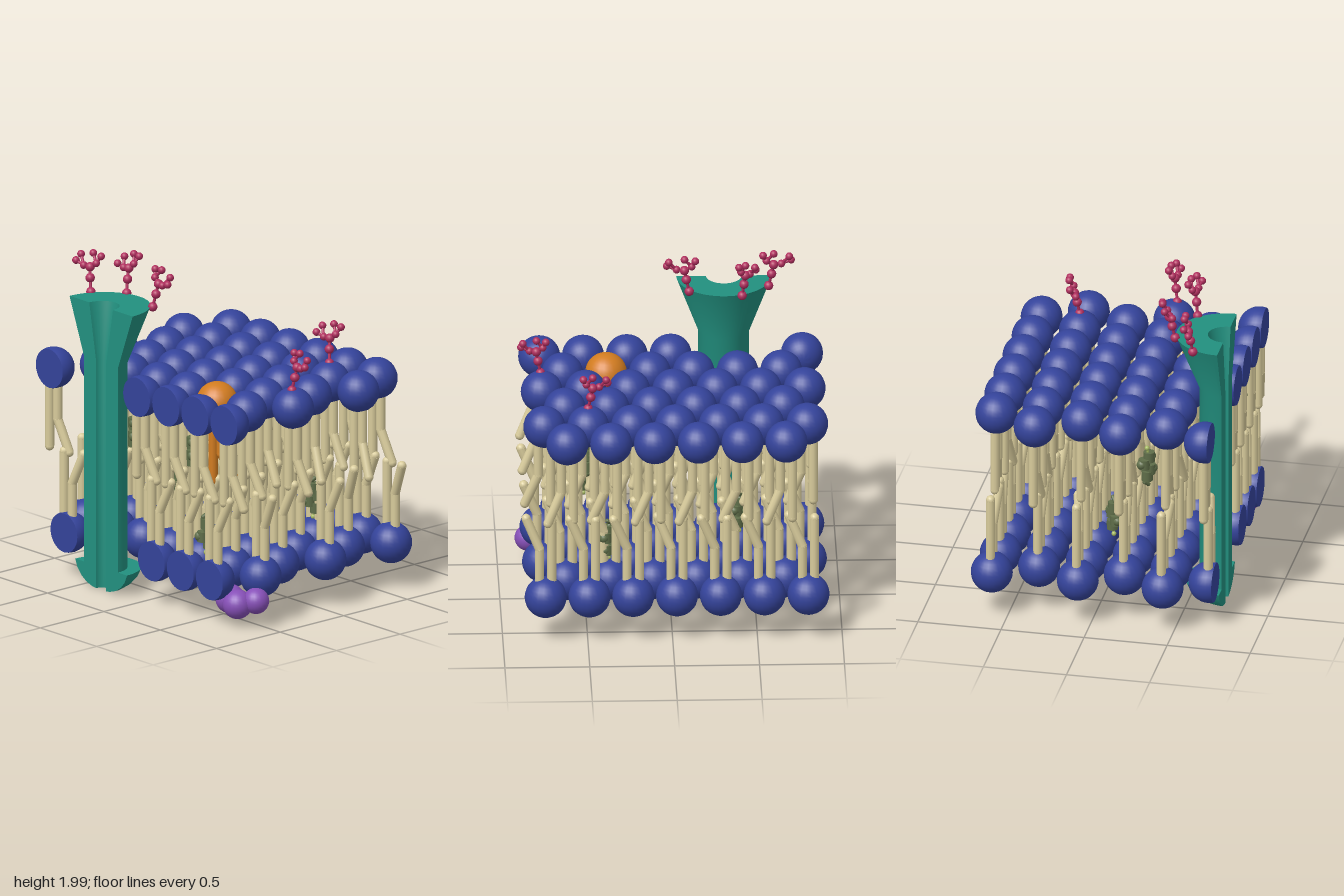
import * as THREE from 'three';
import { toCreasedNormals } from 'three/addons/utils/BufferGeometryUtils.js';

const CUT = 0.72; // flat section plane at the front
const paint = (color, side = THREE.FrontSide) => new THREE.MeshStandardMaterial({ color, side });
const BLUE = paint(0x34439a), CREAM = paint(0xd9cc9c), ORANGE = paint(0xd27c20), PINK = paint(0xb02e5e);
const OLIVE = paint(0x5f6e49), LIME = paint(0xa9bd66), PURPLE = paint(0x8750b8);
const TEAL = paint(0x22907f, THREE.DoubleSide);
const V = (x, y, z) => new THREE.Vector3(x, y, z);
const UP = V(0, 1, 0);

function add(parent, name, geometry, material, x = 0, y = 0, z = 0) {
  const mesh = new THREE.Mesh(geometry, material);
  mesh.name = name;
  mesh.position.set(x, y, z);
  parent.add(mesh);
  return mesh;
}

function group(parent, name, x = 0, y = 0, z = 0) {
  const g = new THREE.Group();
  g.name = name;
  g.position.set(x, y, z);
  parent.add(g);
  return g;
}

// Round bar between two points
const barGeo = new THREE.CylinderGeometry(1, 1, 1, 10);
function bar(parent, name, a, b, radius, material) {
  const m = add(parent, name, barGeo, material);
  m.position.copy(a).lerp(b, 0.5);
  m.scale.set(radius, a.distanceTo(b), radius);
  m.quaternion.setFromUnitVectors(UP, b.clone().sub(a).normalize());
}

const smallBall = new THREE.SphereGeometry(1, 10, 7);
const largeBall = new THREE.SphereGeometry(1, 22, 16);
function ball(parent, name, p, radius, material, geometry = smallBall) {
  add(parent, name, geometry, material, p.x, p.y, p.z).scale.setScalar(radius);
}

// Chain of bars with rounded joints
function chain(parent, name, points, radius, material) {
  points.slice(1).forEach((p, i) => {
    bar(parent, name, points[i], p, radius, material);
    ball(parent, name + 'End', p, radius, material);
  });
}

// Head spheres; the front row is sliced flat at the section plane
const HEAD_R = 0.124;
const headGeo = new THREE.SphereGeometry(HEAD_R, 22, 16);
function slicedHead(limit) {
  const g = new THREE.SphereGeometry(HEAD_R, 28, 20).rotateX(Math.PI / 2);
  const p = g.attributes.position;
  const rim = Math.sqrt(HEAD_R * HEAD_R - limit * limit);
  for (let i = 0; i < p.count; i++) {
    if (p.getZ(i) <= limit) continue;
    // flatten, and push the outer ring onto the true circle of the slice
    const r = Math.hypot(p.getX(i), p.getY(i));
    const k = r > rim * 0.9 ? rim / r : 1;
    p.setXYZ(i, p.getX(i) * k, p.getY(i) * k, limit);
  }
  return toCreasedNormals(g, 0.5);
}

// One lipid: head, a straight tail and a kinked tail; dir = -1 hangs, +1 stands
function lipid(parent, x, y, z, dir, geometry, wobble, special) {
  const g = group(parent, special ? 'taggedLipid' : 'lipid', x, y, z);
  add(g, 'head', geometry, special ? ORANGE : BLUE);
  const mat = special ? ORANGE : CREAM;
  const bend = special ? [0.04, -0.11] : [0.115, wobble];
  chain(g, 'straightTail', [V(-0.036, 0.1 * dir, 0), V(-0.036, 0.49 * dir, 0)], 0.028, mat);
  chain(g, 'kinkedTail', [V(0.036, 0.1 * dir, 0), V(0.036, 0.31 * dir, 0), V(bend[0], 0.5 * dir, bend[1])], 0.028, mat);
}

// Branched sugar chain
const sugarBall = new THREE.SphereGeometry(1, 14, 10);
const sugarNodes = [
  [0, 0, 0], [0.015, 0.08, -0.01], [0.025, 0.143, -0.02], [-0.012, 0.172, -0.03], [-0.03, 0.215, -0.05],
  [0.025, 0.223, -0.045], [0.065, 0.145, -0.01], [0.115, 0.165, 0], [0.105, 0.2, -0.03],
];
const sugarLinks = [[0, 1], [1, 2], [2, 3], [3, 4], [3, 5], [2, 6], [6, 7], [6, 8]];
function sugar(parent, x, y, z, sx, sz) {
  const g = group(parent, 'sugarChain', x, y, z);
  const pts = sugarNodes.map(([a, b, c]) => V(a * sx, b, c * sz));
  pts.forEach((p, i) => ball(g, 'sugarBead', p, i < 3 ? 0.028 : 0.023, PINK, sugarBall));
  sugarLinks.forEach(([a, b]) => bar(g, 'sugarLink', pts[a], pts[b], 0.009, PINK));
}

// Sterol: stacked offset discs with a stem, a light tip and a short tail
const discGeo = new THREE.CylinderGeometry(0.034, 0.034, 0.062, 10);
function sterol(parent, x, y, z, dir) {
  const g = group(parent, 'sterol', x, y, z);
  g.rotation.x = dir > 0 ? 0 : Math.PI;
  [[0.01, 0.06], [-0.014, 0.02], [0.014, -0.02], [0, -0.06]].forEach(([o, h]) => {
    add(g, 'ring', discGeo, OLIVE, o, h, o);
    ball(g, 'ringLobe', V(o * 2, h, o * 2), 0.03, OLIVE);
  });
  bar(g, 'stem', V(0.005, 0.08, 0.005), V(0, 0.12, 0), 0.008, LIME);
  ball(g, 'tip', V(0, 0.118, 0), 0.015, LIME);
  chain(g, 'tail', [V(0, -0.08, 0), V(-0.012, -0.1, -0.012), V(0.006, -0.12, 0.006)], 0.013, OLIVE);
}

// Channel protein cut in half: swept wall plus two flat section faces
function channel(parent) {
  const g = group(parent, 'channelProtein', -0.34, 0, CUT);
  const profile = [
    [0.045, 0], [0.08, 0.005], [0.13, 0.022], [0.175, 0.052], [0.21, 0.092], [0.23, 0.14], [0.15, 0.14],
    [0.15, 1.4], [0.28, 1.745], [0.105, 1.745], [0.045, 1.4], [0.045, 0],
  ].map(([r, y]) => new THREE.Vector2(r, y));
  const wall = new THREE.LatheGeometry(profile, 32, Math.PI / 2, Math.PI).scale(1, 1, 1.07);
  add(g, 'channelWall', toCreasedNormals(wall, 0.45), TEAL);
  for (const side of [-1, 1]) {
    const outline = profile.slice(0, -1).map((p) => new THREE.Vector2(p.x * side, p.y));
    add(g, 'sectionFace', new THREE.ShapeGeometry(new THREE.Shape(outline)), TEAL);
  }
}

export function createModel() {
  const model = new THREE.Group();
  model.name = 'cellMembrane';

  // Two staggered lipid layers, leaving room for the channel
  const rowZ = [-0.597, -0.34, -0.08, 0.175, 0.43, 0.685];
  const frontHead = slicedHead(CUT - rowZ[5]);
  for (const dir of [-1, 1]) {
    const layer = group(model, dir < 0 ? 'upperLayer' : 'lowerLayer');
    rowZ.forEach((z, row) => {
      const wide = (row % 2 === 1) === (dir < 0);
      const count = wide ? 7 : 6;
      for (let i = 0; i < count; i++) {
        const x = (wide ? -0.8 : -0.67) + i * 0.258;
        if (Math.hypot(x + 0.34, z - 0.71) < 0.26) continue;
        const special = dir < 0 && row === 4 && i === 4;
        const wobble = row === 5 ? -0.02 : 0.022 * Math.sin(i * 2.3 + row * 1.7 + dir);
        lipid(layer, x, dir < 0 ? 1.257 : 0.275, z, dir, row === 5 ? frontHead : headGeo, wobble, special);
      }
    });
  }

  channel(model);

  // Sugar chains: three on the channel rim, two on heads
  sugar(model, -0.6, 1.745, 0.57, -1.15, 1);
  sugar(model, -0.44, 1.745, 0.43, -0.7, 1.6);
  sugar(model, -0.13, 1.745, 0.5, 1.15, 1);
  sugar(model, 0.49, 1.37, -0.34, -1, 1.3);
  sugar(model, 0.755, 1.37, 0.19, 1, 0.9);

  // Sterols between the tails
  [[-0.67, 0.31], [-0.15, 0.63], [0.37, 0.63], [0.49, -0.2]].forEach(([x, z]) => sterol(model, x, 1.0, z, 1));
  [[0.49, 0.63], [-0.41, 0.055], [0.37, -0.32]].forEach(([x, z]) => sterol(model, x, 0.52, z, -1));

  // Peripheral protein under the lower layer
  const protein = group(model, 'peripheralProtein');
  [[0.635, 0.138, 0.57, 0.087], [0.742, 0.135, 0.607, 0.088], [0.82, 0.158, 0.53, 0.078]]
    .forEach(([x, y, z, r]) => ball(protein, 'proteinLobe', V(x, y, z), r, PURPLE, largeBall));

  return model;
}
